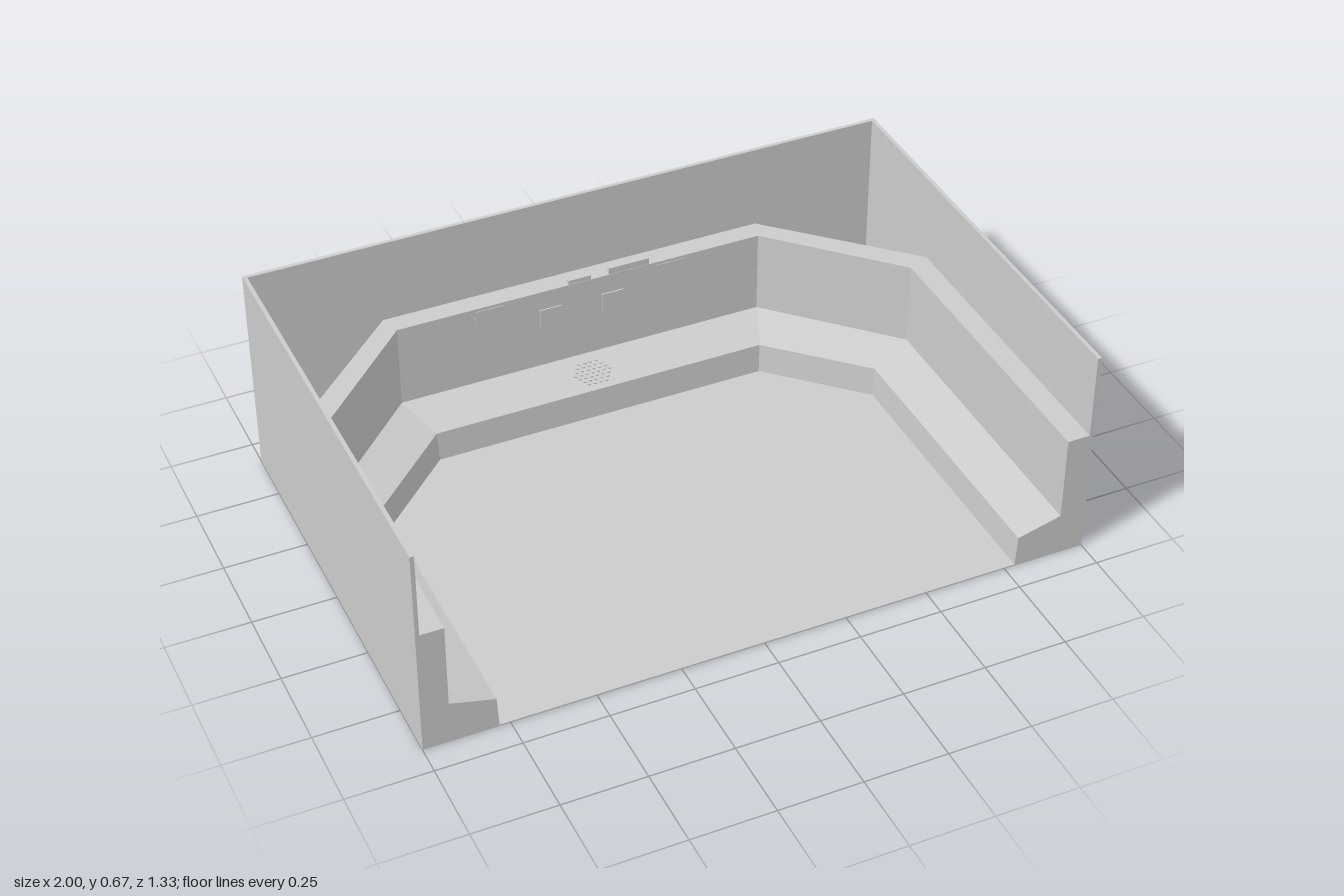
import * as THREE from 'three';

const W = 1, D = 0.665, H = 0.665, T = 0.012, FLOOR = 0.005;

function material(color = 0xcccccc) {
  return new THREE.MeshStandardMaterial({ color, flatShading: true });
}

function box(name, x0, x1, y0, y1, z0, z1, color) {
  const mesh = new THREE.Mesh(new THREE.BoxGeometry(x1 - x0, y1 - y0, z1 - z0), material(color));
  mesh.position.set((x0 + x1) / 2, (y0 + y1) / 2, (z0 + z1) / 2);
  mesh.name = name;
  return mesh;
}

// Stepped section swept around three sides with chamfered corners.
// Each contour: height, side x, z where the chamfer starts, chamfer end x, back z
function steppedBench() {
  const contours = [
    [FLOOR, 0.988, -0.28, 0.6, -0.653],
    [0.4, 0.988, -0.28, 0.6, -0.653],
    [0.4, 0.92, -0.25, 0.58, -0.59],
    [0.135, 0.92, -0.25, 0.58, -0.59],
    [0.1, 0.787, -0.2, 0.525, -0.452],
    [FLOOR, 0.782, -0.197, 0.521, -0.447],
  ].map(([y, x, zc, xb, zb]) => [
    [x, y, D], [x, y, zc], [xb, y, zb], [-xb, y, zb], [-x, y, zc], [-x, y, D],
  ]);
  const pos = [];
  const tri = (a, b, c) => pos.push(...a, ...b, ...c);
  const n = contours.length;
  for (let i = 0; i < n; i++) {
    const p = contours[i], q = contours[(i + 1) % n];
    for (let j = 0; j < p.length - 1; j++) {
      tri(p[j], p[j + 1], q[j + 1]);
      tri(p[j], q[j + 1], q[j]);
    }
  }
  // End caps at the open front
  const section = contours.map((c) => new THREE.Vector2(c[0][0], c[0][1]));
  for (const [a, b, c] of THREE.ShapeUtils.triangulateShape(section, [])) {
    tri(contours[a][0], contours[b][0], contours[c][0]);
    tri(contours[a][5], contours[c][5], contours[b][5]);
  }
  const geo = new THREE.BufferGeometry();
  geo.setAttribute('position', new THREE.Float32BufferAttribute(pos, 3));
  geo.computeVertexNormals();
  const mesh = new THREE.Mesh(geo, material());
  mesh.name = 'steppedBench';
  return mesh;
}

// Round patch of small studs lying on the sloping seat
function studPatch() {
  const group = new THREE.Group();
  group.name = 'studPatch';
  const geo = new THREE.CylinderGeometry(0.006, 0.006, 0.005, 8);
  for (let r = -3; r <= 3; r++) {
    const count = 7 - Math.abs(r);
    for (let k = 0; k < count; k++) {
      const stud = new THREE.Mesh(geo, material());
      stud.position.set((k - (count - 1) / 2) * 0.0185, 0, r * 0.0135);
      stud.name = 'stud';
      group.add(stud);
    }
  }
  group.position.set(0, 0.1185, -0.517);
  group.rotation.x = Math.atan2(0.035, 0.138);
  return group;
}

export function createModel() {
  const model = new THREE.Group();
  model.name = 'roomSet';

  // Floor and thin outer walls
  model.add(box('floor', -W, W, 0, FLOOR, -D, D));
  model.add(box('backWall', -W + T, W - T, FLOOR, H, -D, -D + T));
  for (const [name, s] of [['leftWall', 1], ['rightWall', -1]]) {
    const c = s * (W - T / 2);
    model.add(box(name, c - T / 2, c + T / 2, FLOOR, H, -D, D));
  }

  model.add(steppedBench());
  model.add(studPatch());

  // Pale panels and small plates on the back face
  for (const s of [-1, 1]) {
    const c = s * 0.29;
    model.add(box('palePanel', c - 0.047, c + 0.047, 0.334, 0.39, -0.591, -0.588, 0xffffff));
    const p = s * 0.1;
    model.add(box('wallPlate', p - 0.035, p + 0.035, 0.27, 0.337, -0.591, -0.586));
  }

  // Low strips on the ledge
  model.add(box('smallLedgeStrip', -0.04, 0.032, 0.4, 0.414, -0.602, -0.591));
  model.add(box('longLedgeStrip', 0.09, 0.22, 0.4, 0.421, -0.602, -0.591));

  return model;
}
